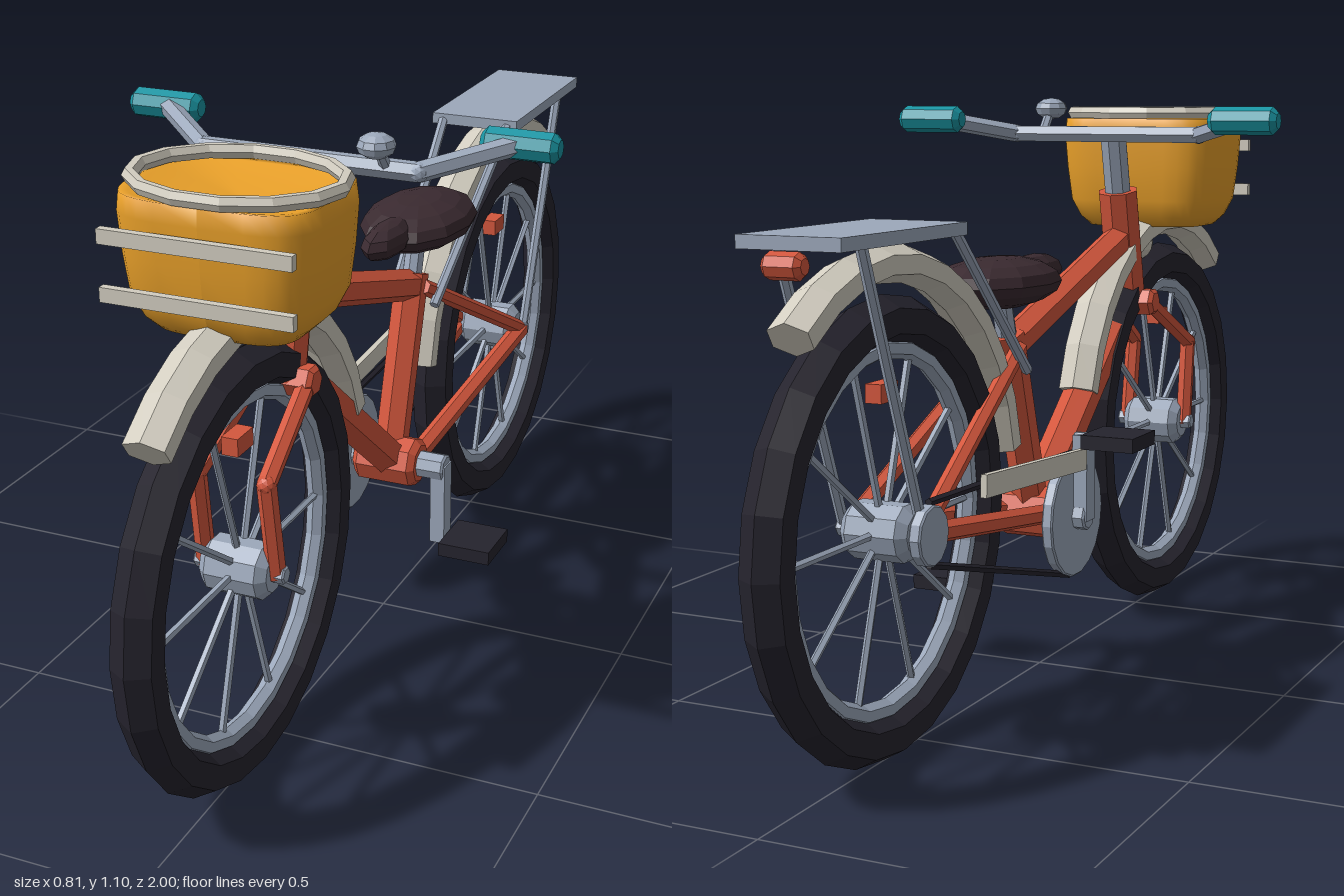
import * as THREE from 'three';

const mat = (color, flatShading = true) => new THREE.MeshStandardMaterial({ color, flatShading });
const M = {
  frame: mat(0xd4573d), metal: mat(0x9ca8bb), rubber: mat(0x25232d), cream: mat(0xd2cdc0),
  seat: mat(0x3a2a30), grip: mat(0x1a95a3), basket: mat(0xeaa12a, false),
};
const V = (x, y, z) => new THREE.Vector3(x, y, z);
const AXLE_Y = 0.39, FRONT_Z = 0.61, REAR_Z = -0.61, CRANK_Y = 0.31, CRANK_Z = -0.035;

export function createModel() {
  const root = new THREE.Group();
  root.name = 'bicycle';

  const add = (name, geo, material, pos = V(0, 0, 0), parent = root) => {
    const m = new THREE.Mesh(geo, material);
    m.name = name;
    m.position.copy(pos);
    parent.add(m);
    return m;
  };
  const box = (name, w, h, d, material, pos) => add(name, new THREE.BoxGeometry(w, h, d), material, pos);
  // straight bar between two points
  const rod = (name, a, b, r, material, sides = 6, parent = root) => {
    const m = add(name, new THREE.CylinderGeometry(r, r, a.distanceTo(b), sides), material,
      a.clone().add(b).multiplyScalar(0.5), parent);
    m.quaternion.setFromUnitVectors(V(0, 1, 0), b.clone().sub(a).normalize());
    return m;
  };
  // chain of bars with a ball at each bend
  const bentRod = (name, pts, r, material) => {
    const g = new THREE.Group();
    g.name = name;
    root.add(g);
    for (let i = 1; i < pts.length; i++) {
      rod(name + 'Segment', pts[i - 1], pts[i], r, material, 6, g);
      if (i < pts.length - 1) add(name + 'Bend', new THREE.IcosahedronGeometry(r, 1), material, pts[i], g);
    }
  };
  // bevelled cylinder lying along x
  const barrel = (name, r, len, bevel, sides, material, pos, parent = root) => {
    const h = len / 2;
    const pts = [[0, -h], [r - bevel, -h], [r, bevel - h], [r, h - bevel], [r - bevel, h], [0, h]];
    const geo = new THREE.LatheGeometry(pts.map(([x, y]) => new THREE.Vector2(x, y)), sides);
    return add(name, geo.rotateZ(Math.PI / 2), material, pos, parent);
  };
  const ball = (name, sx, sy, sz, material, pos, w = 12, h = 8) =>
    add(name, new THREE.SphereGeometry(1, w, h).scale(sx, sy, sz), material, pos);

  // wheels
  const wheel = (name, z) => {
    const g = new THREE.Group();
    g.name = name;
    g.position.set(0, AXLE_Y, z);
    root.add(g);
    const ring = (r, t, sides) => new THREE.TorusGeometry(r, t, sides, 24).rotateY(Math.PI / 2);
    add('tire', ring(0.35, 0.042, 6), M.rubber, undefined, g);
    add('rim', ring(0.304, 0.018, 6), M.metal, undefined, g);
    barrel('hub', 0.05, 0.125, 0.016, 10, M.metal, V(0, 0, 0), g);
    barrel('axle', 0.016, 0.17, 0.003, 6, M.metal, V(0, 0, 0), g);
    for (let i = 0; i < 10; i++) {
      const a = i * Math.PI / 5, c = Math.cos(a), s = Math.sin(a);
      rod('spoke', V(0, s * 0.04, c * 0.04), V(0, s * 0.3, c * 0.3), 0.007, M.metal, 5, g);
    }
    add('reflector', new THREE.BoxGeometry(0.03, 0.032, 0.056), M.frame, V(0, 0.232, 0), g);
  };
  wheel('frontWheel', FRONT_Z);
  wheel('rearWheel', REAR_Z);

  // mudguards: six-sided section swept round the tire, angles measured from +z
  const fender = (name, z, from, to) => {
    const pts = [];
    for (let i = 0; i <= 10; i++) {
      const a = THREE.MathUtils.degToRad(from + (to - from) * i / 10);
      pts.push(V(0, AXLE_Y + Math.sin(a) * 0.442, z + Math.cos(a) * 0.442));
    }
    const hex = [];
    for (let i = 0; i < 6; i++) {
      hex.push(new THREE.Vector2(-Math.sin(i * Math.PI / 3) * 0.042, Math.cos(i * Math.PI / 3) * 0.032));
    }
    add(name, new THREE.ExtrudeGeometry(new THREE.Shape(hex),
      { steps: 10, extrudePath: new THREE.CatmullRomCurve3(pts) }), M.cream);
  };
  fender('frontFender', FRONT_Z, 49, 164);
  fender('rearFender', REAR_Z, 9, 128);

  // frame
  rod('headTube', V(0, 0.665, 0.437), V(0, 0.905, 0.384), 0.042, M.frame, 8);
  rod('topTube', V(0, 0.81, 0.405), V(0, 0.64, -0.14), 0.032, M.frame);
  rod('downTube', V(0, 0.69, 0.43), V(0, CRANK_Y, CRANK_Z), 0.038, M.frame);
  rod('seatTube', V(0, CRANK_Y, CRANK_Z), V(0, 0.665, -0.145), 0.033, M.frame);
  barrel('bottomBracket', 0.05, 0.13, 0.012, 8, M.frame, V(0, CRANK_Y, CRANK_Z));
  barrel('forkCrown', 0.03, 0.13, 0.008, 6, M.frame, V(0, 0.67, 0.44));
  for (const s of [1, -1]) {
    bentRod('forkLeg', [V(s * 0.048, 0.67, 0.44), V(s * 0.064, 0.565, 0.635), V(s * 0.066, 0.385, 0.61)], 0.017, M.frame);
    rod('seatStay', V(s * 0.025, 0.64, -0.14), V(s * 0.07, AXLE_Y, REAR_Z), 0.016, M.frame);
    rod('chainStay', V(s * 0.045, CRANK_Y, CRANK_Z), V(s * 0.07, AXLE_Y, REAR_Z), 0.019, M.frame);
  }

  // saddle
  rod('seatPost', V(0, 0.64, -0.138), V(0, 0.76, -0.175), 0.02, M.metal, 8);
  ball('seat', 0.105, 0.048, 0.165, M.seat, V(0, 0.764, -0.18));
  ball('seatNose', 0.038, 0.033, 0.1, M.seat, V(0, 0.772, -0.025), 8, 6);

  // cranks, pedals and chain drive
  barrel('crankAxle', 0.027, 0.24, 0.004, 8, M.metal, V(0, CRANK_Y, CRANK_Z));
  for (const s of [1, -1]) {
    box('crankArm', 0.03, 0.165, 0.038, M.metal, V(s * 0.108, CRANK_Y - s * 0.075, CRANK_Z));
    barrel('pedalAxle', 0.01, 0.06, 0.002, 6, M.metal, V(s * 0.12, CRANK_Y - s * 0.152, CRANK_Z));
    box('pedal', 0.105, 0.027, 0.11, M.rubber, V(s * 0.178, CRANK_Y - s * 0.152, CRANK_Z));
  }
  barrel('chainring', 0.118, 0.022, 0.003, 18, M.metal, V(-0.085, CRANK_Y, CRANK_Z));
  barrel('sprocket', 0.052, 0.022, 0.003, 12, M.metal, V(-0.085, AXLE_Y, REAR_Z));
  rod('chainTop', V(-0.085, 0.43, CRANK_Z), V(-0.085, 0.445, REAR_Z), 0.007, M.rubber, 5);
  rod('chainBottom', V(-0.085, 0.197, CRANK_Z - 0.02), V(-0.085, 0.34, REAR_Z), 0.007, M.rubber, 5);
  box('chainGuard', 0.012, 0.04, 0.42, M.cream, V(-0.12, 0.438, -0.27)).rotation.x = 0.06;

  // rear rack and tail light
  box('rackPlate', 0.185, 0.022, 0.405, M.metal, V(0, 0.883, -0.683));
  for (const s of [1, -1]) {
    rod('rackFrontStay', V(s * 0.07, 0.88, -0.485), V(s * 0.045, 0.6, -0.15), 0.01, M.metal);
    rod('rackRearStay', V(s * 0.075, 0.88, -0.8), V(s * 0.075, AXLE_Y, REAR_Z), 0.01, M.metal);
  }
  barrel('tailLight', 0.022, 0.07, 0.009, 8, M.frame, V(0, 0.85, -0.893));

  // handlebar, grips and bell
  rod('stem', V(0, 0.89, 0.387), V(0, 1.03, 0.355), 0.028, M.metal, 8);
  bentRod('handlebar', [V(-0.34, 1.055, 0.2), V(-0.2, 1.022, 0.32), V(0.2, 1.022, 0.32), V(0.34, 1.055, 0.2)], 0.018, M.metal);
  for (const s of [1, -1]) barrel('grip', 0.027, 0.138, 0.011, 8, M.grip, V(s * 0.336, 1.052, 0.2));
  ball('bell', 0.034, 0.022, 0.034, M.metal, V(0.143, 1.073, 0.365), 10, 6);
  rod('bellMount', V(0.143, 1.02, 0.32), V(0.143, 1.07, 0.36), 0.01, M.metal);

  // headlight
  ball('headlight', 0.036, 0.036, 0.036, M.cream, V(0, 0.79, 0.49), 10, 8);

  // basket: turned profile squared off into a rounded rectangle
  const profile = [[0, 0.825], [0.7, 0.825], [0.82, 0.845], [0.92, 0.88], [0.97, 0.95], [1, 1.02],
    [0.98, 1.052], [0.9, 1.05], [0.6, 1.038], [0, 1.03]];
  const geo = new THREE.LatheGeometry(profile.map(([r, y]) => new THREE.Vector2(r, y)), 32);
  const p = geo.attributes.position;
  for (let i = 0; i < p.count; i++) {
    const x = p.getX(i), z = p.getZ(i), r = Math.hypot(x, z) || 1;
    const square = (v) => Math.sign(v) * Math.pow(Math.abs(v / r), 0.5) * r;
    p.setX(i, square(x) * 0.176);
    p.setZ(i, square(z) * 0.14);
  }
  geo.computeVertexNormals();
  add('basket', geo, M.basket, V(0, 0, 0.58));
  add('basketRim', new THREE.TorusGeometry(1, 0.075, 6, 14).rotateX(Math.PI / 2).scale(0.178, 0.18, 0.14),
    M.cream, V(0, 1.064, 0.58));
  for (const y of [0.992, 0.896]) box('basketSlat', 0.335, 0.025, 0.015, M.cream, V(0, y, 0.73));
  rod('basketBracket', V(0, 0.86, 0.395), V(0, 0.86, 0.48), 0.015, M.metal);

  return root;
}
